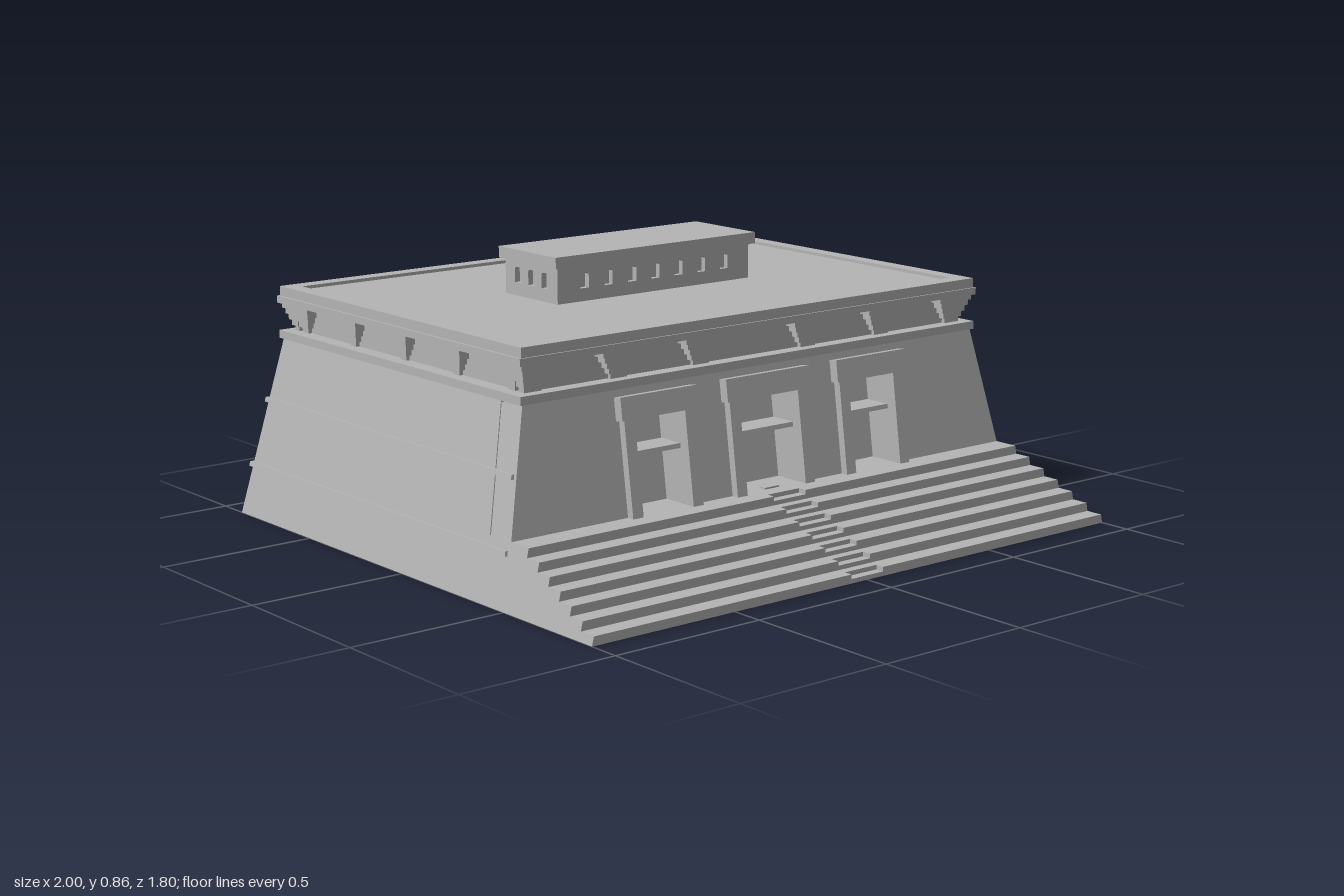
import * as THREE from 'three';

const SX = 0.223, SZ = 0.143; // inward lean of the walls per unit of height
const FRONT = 0.51, BACK = -0.9;

export function createModel() {
  const root = new THREE.Group();
  root.name = 'temple';
  const stone = new THREE.MeshStandardMaterial({ color: 0xb4b4b4 });
  stone.name = 'grey stone';

  const add = (geo, name, parent = root) => {
    const mesh = new THREE.Mesh(geo, stone);
    mesh.name = name;
    parent.add(mesh);
    return mesh;
  };
  // block between a bottom and a top rectangle, each [x0, x1, z0, z1]
  const block = (name, y0, y1, lo, hi = lo, parent = root) => {
    const g = new THREE.BoxGeometry(1, 1, 1);
    const p = g.attributes.position;
    for (let i = 0; i < p.count; i++) {
      const up = p.getY(i) > 0, r = up ? hi : lo;
      p.setXYZ(i, r[p.getX(i) > 0 ? 1 : 0], up ? y1 : y0, r[p.getZ(i) > 0 ? 3 : 2]);
    }
    g.computeVertexNormals();
    return add(g, name, parent);
  };
  const rectPath = (x0, x1, y0, y1, cut = 0) => {
    const s = new THREE.Path();
    s.moveTo(x0, y0).lineTo(x1, y0).lineTo(x1, y1 - cut).lineTo(x1 - cut, y1);
    s.lineTo(x0 + cut, y1).lineTo(x0, y1 - cut).closePath();
    return s;
  };
  // footprint of the leaning walls at height y, grown by g on sides and back
  const foot = (y, g, front) =>
    [-1 + SX * y - g, 1 - SX * y + g, BACK + SZ * y - g, FRONT - SZ * y + front];

  // main body behind the front wall
  block('body', 0, 0.57, foot(0, 0, -0.1), foot(0.57, 0, -0.1));

  // projecting bands round the sides and back
  for (const y of [0.15, 0.355])
    block('wallBand', y, y + 0.014, foot(y, 0.009, -0.012), foot(y + 0.014, 0.009, -0.012));

  // leaning front wall with three doorways
  const facade = new THREE.Group();
  facade.name = 'facade';
  facade.position.z = FRONT;
  facade.rotation.x = -Math.atan(SZ);
  root.add(facade);
  const wall = new THREE.Shape([
    [-0.995, 0.02], [0.995, 0.02], [0.875, 0.568], [-0.875, 0.568],
  ].map(([x, y]) => new THREE.Vector2(x, y)));
  const doors = [[-0.415, 0.093], [0, 0.115], [0.415, 0.093]]; // centre, half opening
  for (const [c, h] of doors) wall.holes.push(rectPath(c - h, c + h, 0.15, 0.472));
  const wallGeo = new THREE.ExtrudeGeometry(wall, { depth: 0.11, bevelEnabled: false });
  wallGeo.translate(0, 0, -0.11);
  add(wallGeo, 'frontWall', facade);
  for (const [c, h] of doors) {
    for (const s of [-1, 1]) {
      const a = c + s * h, b = c + s * (h + 0.038);
      block('doorJamb', 0.15, 0.474,
        [Math.min(a, b), Math.max(a, b), -0.02, 0.024], undefined, facade);
    }
    block('doorLintel', 0.472, 0.54,
      [c - h - 0.049, c + h + 0.049, -0.02, 0.03], undefined, facade);
  }

  // broad front steps, with a narrower flight of half steps cut into the middle
  const N = 7, H = 0.19 / N, RUN = 0.056, FLIGHT = 0.062;
  for (let i = 0; i < N; i++) {
    const y0 = i * H, y1 = y0 + H, zf = 0.9 - i * RUN;
    const w0 = 1 - SX * y0, w1 = 1 - SX * y1;
    block('stepLeft', y0, y1, [FLIGHT, w0, 0.38, zf], [FLIGHT, w1, 0.38, zf]);
    block('stepRight', y0, y1, [-w0, -FLIGHT, 0.38, zf], [-w1, -FLIGHT, 0.38, zf]);
    for (let k = 0; k < 2; k++)
      block('middleStep', y0 + k * H / 2, y0 + (k + 1) * H / 2,
        [-FLIGHT, FLIGHT, 0.38, zf - k * RUN / 2]);
  }
  block('doorSill', 0.185, 0.195, [-0.028, 0.028, 0.46, 0.485]);

  // cornice: ledge, recessed frieze, lip and parapet
  block('ledge', 0.557, 0.582, [-0.887, 0.887, -0.828, 0.437]);
  block('frieze', 0.58, 0.675, [-0.838, 0.838, -0.782, 0.392]);
  block('parapetLip', 0.668, 0.69, [-0.89, 0.89, -0.832, 0.44]);
  block('roof', 0.688, 0.71, [-0.86, 0.86, -0.8, 0.41]);
  const rim = new THREE.Shape(rectPath(-0.882, 0.882, -0.435, 0.825).getPoints());
  rim.holes.push(rectPath(-0.832, 0.832, -0.38, 0.775));
  const rimGeo = new THREE.ExtrudeGeometry(rim, { depth: 0.032, bevelEnabled: false });
  rimGeo.rotateX(-Math.PI / 2).translate(0, 0.688, 0);
  add(rimGeo, 'parapet');

  // stepped corbels, widening and projecting as they rise
  const LEVELS = 5, Y0 = 0.58, DY = 0.09 / LEVELS;
  for (let k = 0; k < LEVELS; k++) {
    const y0 = Y0 + k * DY, y1 = y0 + DY;
    const out = 0.012 + 0.007 * k;
    for (const x of [-0.82, -0.515, -0.21, 0.21, 0.515, 0.82]) {
      const h = 0.03 + 0.012 * k;
      const x0 = Math.max(x - h, -0.838 - out), x1 = Math.min(x + h, 0.838 + out);
      block('frontCorbel', y0, y1, [x0, x1, 0.38, 0.392 + out]);
      block('backCorbel', y0, y1, [x0, x1, -0.782 - out, -0.77]);
    }
    for (const z of [0.345, 0.077, -0.195, -0.464, -0.733]) {
      const h = 0.016 + 0.01 * k;
      block('leftCorbel', y0, y1, [0.82, 0.838 + out, z - h, z + h]);
      block('rightCorbel', y0, y1, [-0.838 - out, -0.82, z - h, z + h]);
    }
    // corner corbels
    for (const s of [-1, 1]) {
      const a = s * 0.8, b = s * (0.838 + out);
      const x0 = Math.min(a, b), x1 = Math.max(a, b);
      block('cornerCorbel', y0, y1, [x0, x1, 0.38 - 0.004 * k, 0.392 + out]);
      block('cornerCorbel', y0, y1, [x0, x1, -0.782 - out, -0.77 + 0.004 * k]);
    }
  }

  // rooftop pavilion with recessed windows on all four sides
  const pavilion = new THREE.Group();
  pavilion.name = 'pavilion';
  pavilion.position.set(0, 0, -0.197);
  root.add(pavilion);
  const PX = 0.378, PZ = 0.132, T = 0.018;
  block('pavilionCore', 0.7, 0.825, [-PX + T, PX - T, -PZ + T, PZ - T], undefined, pavilion);
  const windowWall = (half, count, gap, dist, turn) => {
    const s = new THREE.Shape(rectPath(-half, half, 0.7, 0.825).getPoints());
    for (let i = 0; i < count; i++) {
      const x = (i - (count - 1) / 2) * gap;
      s.holes.push(rectPath(x - 0.016, x + 0.016, 0.75, 0.798, 0.006));
    }
    const g = new THREE.ExtrudeGeometry(s, { depth: T, bevelEnabled: false });
    g.translate(0, 0, dist - T).rotateY(turn);
    add(g, 'windowWall', pavilion);
  };
  for (const t of [0, Math.PI]) {
    windowWall(PX, 7, 0.092, PZ, t);
    windowWall(PZ, 3, 0.068, PX, t + Math.PI / 2);
  }
  block('pavilionRoof', 0.82, 0.856, [-0.394, 0.394, -0.145, 0.145], undefined, pavilion);

  return root;
}
